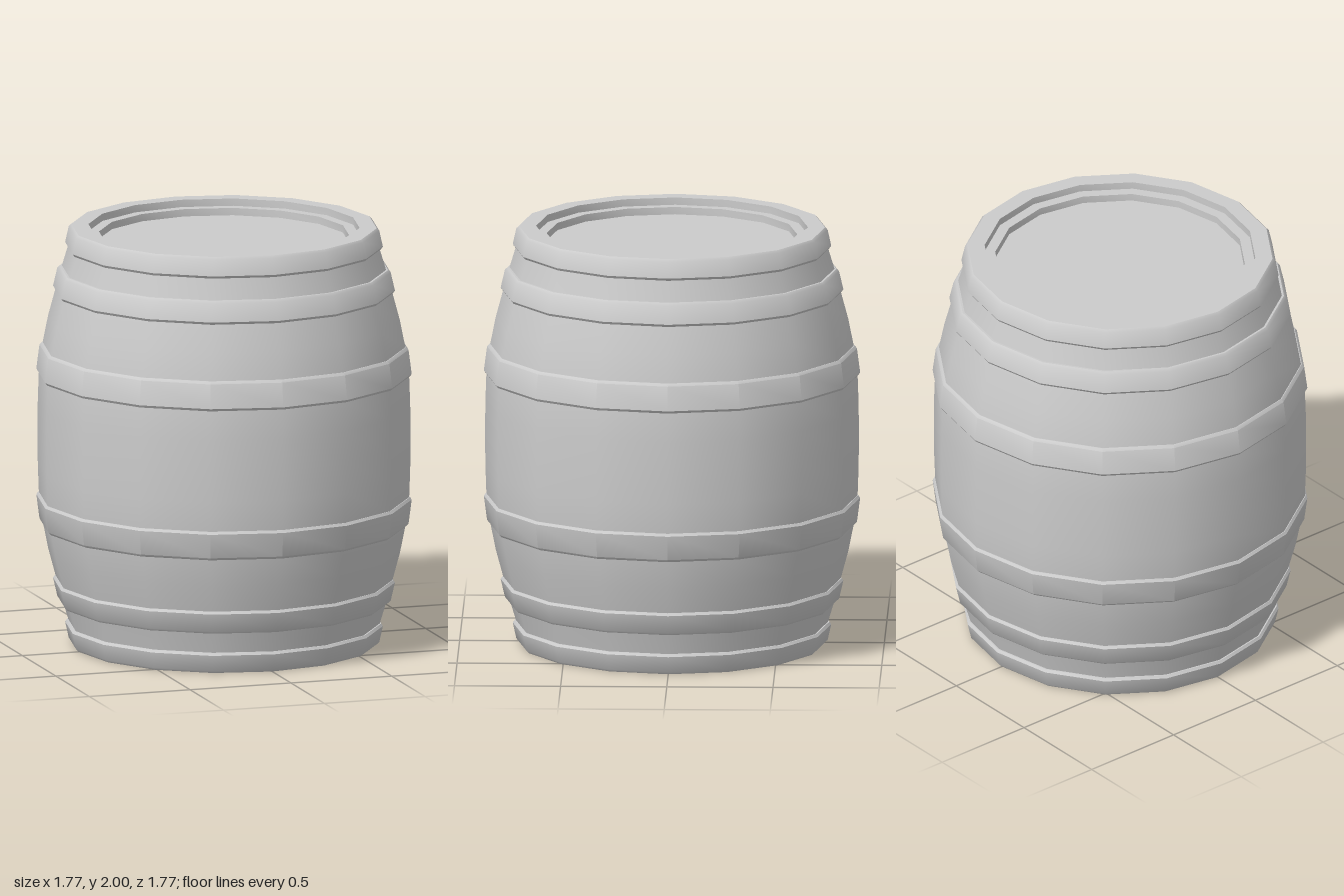
import * as THREE from 'three';
import { toCreasedNormals } from 'three/addons/utils/BufferGeometryUtils.js';

const SIDES = 16;

export function createModel() {
  const model = new THREE.Group();
  model.name = 'barrel';
  const material = new THREE.MeshStandardMaterial({ color: 0xcccccc });

  // Turn a [radius, height] profile, listed bottom to top on the outside
  const turned = (name, profile) => {
    const points = profile.map(([r, y]) => new THREE.Vector2(r, y));
    const geometry = toCreasedNormals(new THREE.LatheGeometry(points, SIDES), 0.7);
    const mesh = new THREE.Mesh(geometry, material);
    mesh.name = name;
    model.add(mesh);
  };
  const flip = (profile) => profile.map(([r, y]) => [r, 2 - y]).reverse();

  // Staves and stepped, recessed heads: lower half, mirrored for the upper half
  const lower = [
    [0, 0.07], [0.59, 0.07], [0.59, 0.035], [0.64, 0.035], [0.64, 0],
    [0.71, 0], [0.735, 0.1], [0.765, 0.2], [0.795, 0.31], [0.83, 0.44],
    [0.856, 0.57], [0.874, 0.71], [0.879, 0.85], [0.88, 1],
  ];
  turned('staves', [...lower, ...flip(lower).slice(1)]);

  // Hoops: [name, bottom, top, bottom radius, top radius, inner radius]
  const bevel = 0.012;
  const hoops = [
    ['endHoop', 0, 0.1, 0.733, 0.75, 0.7],
    ['quarterHoop', 0.2, 0.31, 0.787, 0.807, 0.75],
    ['bilgeHoop', 0.57, 0.71, 0.871, 0.886, 0.84],
  ];
  for (const [name, y0, y1, r0, r1, inner] of hoops) {
    const profile = [
      [inner, y0], [r0 - bevel, y0], [r0, y0 + bevel],
      [r1, y1 - bevel], [r1 - bevel * 0.7, y1], [inner, y1],
    ];
    turned(name + 'Lower', profile);
    turned(name + 'Upper', flip(profile));
  }
  return model;
}
